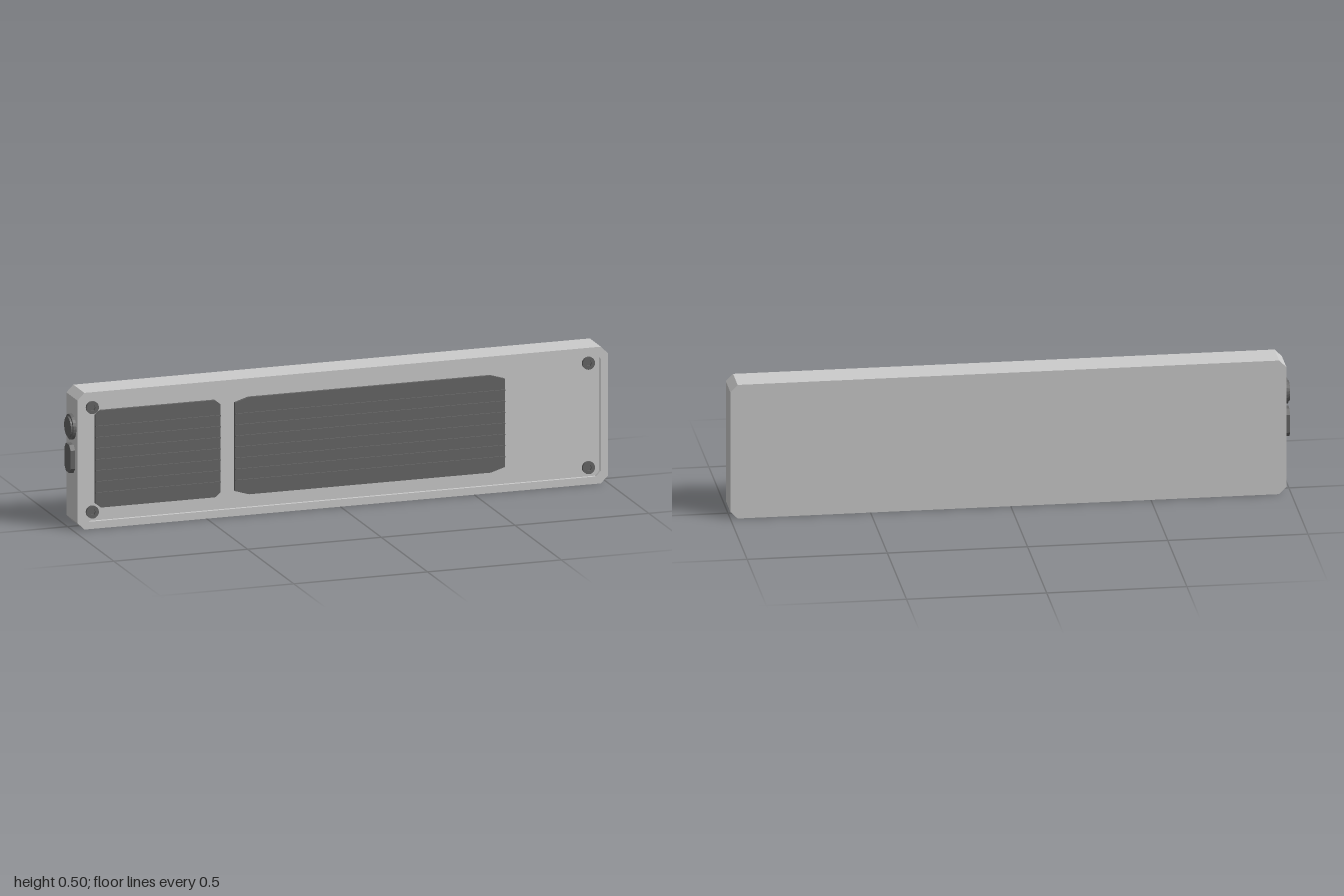
import * as THREE from 'three';

const grey = new THREE.MeshStandardMaterial({ color: 0xcccccc, flatShading: true });
const dark = new THREE.MeshStandardMaterial({ color: 0x666666, flatShading: true });

// Points of a rectangle with cut corners (cx, cy are the cut sizes)
function cutRect(x0, y0, x1, y1, cx, cy) {
  return [
    [x0 + cx, y0], [x1 - cx, y0], [x1, y0 + cy], [x1, y1 - cy],
    [x1 - cx, y1], [x0 + cx, y1], [x0, y1 - cy], [x0, y0 + cy],
  ].map(([x, y]) => new THREE.Vector2(x, y));
}

// Plate extruded along z from z0 to z1, with an optional opening
function plate(name, outline, z0, z1, material, hole) {
  const shape = new THREE.Shape(outline);
  if (hole) shape.holes.push(new THREE.Path(hole));
  const geo = new THREE.ExtrudeGeometry(shape, { depth: z1 - z0, bevelEnabled: false });
  geo.translate(0, 0, z0);
  const mesh = new THREE.Mesh(geo, material);
  mesh.name = name;
  return mesh;
}

const BACK = -0.062, FLOOR = 0.046, FRONT = 0.058;

// Raised vent plate carrying seven horizontal slats
function vent(name, x0, x1, cut) {
  const group = new THREE.Group();
  group.name = name;
  group.add(plate('ventPlate', cutRect(x0, 0.075, x1, 0.43, cut, 0.016), FLOOR, 0.057, dark));
  for (let i = 0; i < 7; i++) {
    const slat = new THREE.Mesh(new THREE.BoxGeometry(x1 - x0, 0.004, 0.01), dark);
    slat.name = 'slat';
    slat.position.set((x0 + x1) / 2, 0.13 + i * 0.0405, 0.057);
    group.add(slat);
  }
  return group;
}

// Screw with a hexagonal socket, facing +z
function screw(x, y) {
  const group = new THREE.Group();
  group.name = 'screw';
  const rim = new THREE.Shape().absarc(0, 0, 0.023, 0, Math.PI * 2);
  const socket = new THREE.Path();
  for (let i = 0; i < 6; i++) {
    const a = -i * Math.PI / 3;
    socket[i ? 'lineTo' : 'moveTo'](0.011 * Math.cos(a), 0.011 * Math.sin(a));
  }
  socket.closePath();
  rim.holes.push(socket);
  const head = new THREE.Mesh(
    new THREE.ExtrudeGeometry(rim, { depth: 0.01, bevelEnabled: false, curveSegments: 20 }), dark);
  head.name = 'screwHead';
  const base = new THREE.Mesh(new THREE.CircleGeometry(0.018, 12), dark);
  base.name = 'socketFloor';
  base.position.z = 0.003;
  group.add(head, base);
  group.position.set(x, y, FLOOR);
  return group;
}

export function createModel() {
  const model = new THREE.Group();
  model.name = 'ventedPanel';

  // Case: solid back with a shallow rim around the recessed front
  const outer = cutRect(-0.983, 0, 1, 0.5, 0.026, 0.026);
  const inner = cutRect(-0.955, 0.027, 0.973, 0.473, 0.018, 0.018);
  model.add(plate('caseBody', outer, BACK, FLOOR, grey));
  model.add(plate('frontRim', outer, FLOOR, FRONT, grey, inner));

  // Vents
  model.add(vent('smallVent', -0.915, -0.448, 0.02));
  model.add(vent('largeVent', -0.393, 0.615, 0.052));

  // Corner screws
  for (const x of [-0.925, 0.93]) for (const y of [0.06, 0.442]) model.add(screw(x, y));

  // Round knob on the right end: low disc with a raised cap
  const knob = new THREE.Group();
  knob.name = 'roundKnob';
  for (const [r, h] of [[0.046, 0.011], [0.037, 0.017]]) {
    const disc = new THREE.Mesh(new THREE.CylinderGeometry(r, r, h, 24), dark);
    disc.name = 'knobDisc';
    disc.rotation.z = Math.PI / 2;
    disc.position.x = -0.983 - h / 2;
    knob.add(disc);
  }
  knob.position.set(0, 0.365, 0);
  model.add(knob);

  // Upright switch with cut corners below the knob
  const toggle = plate('switch', cutRect(-0.033, 0.2, 0.033, 0.303, 0.016, 0.018), 0, 0.017, dark);
  toggle.rotation.y = -Math.PI / 2;
  toggle.position.x = -0.983;
  model.add(toggle);

  return model;
}
